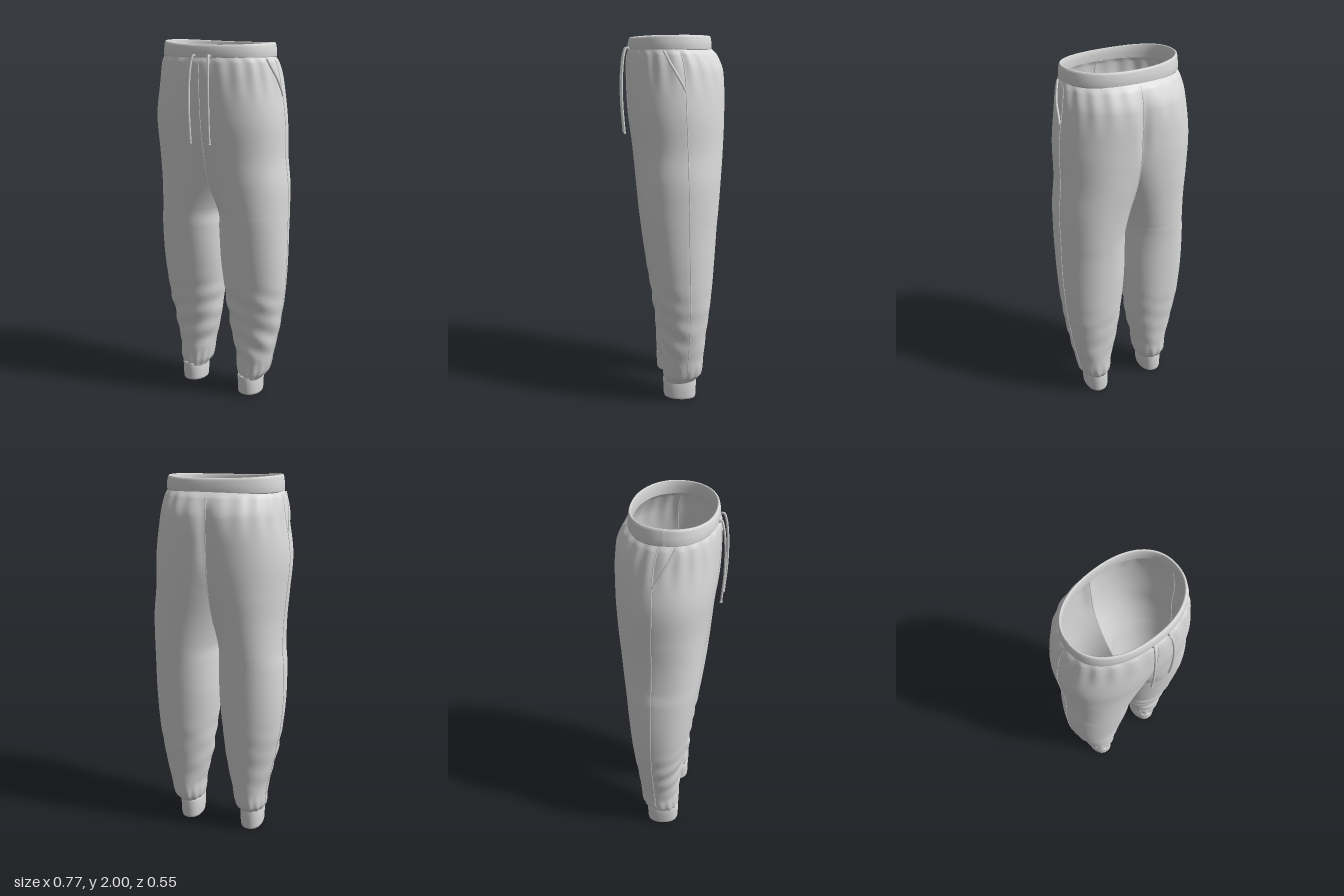
import * as THREE from 'three';

const fabric = new THREE.MeshStandardMaterial({ color: 0xdcdcdc, side: THREE.DoubleSide });
fabric.name = 'light grey fabric';

// Leg sections: y, outer x (right leg), outer x (left leg), inner/outer ratio at the front
// and at the back, front z, back z.
// A negative ratio means the section is cut open at x = 0, where both halves join.
const ROWS = [
  [1.93, .318, .293, -1, -1, .222, -.203],
  [1.89, .337, .312, -.97, -.93, .235, -.238],
  [1.80, .355, .330, -.87, -.75, .240, -.270],
  [1.60, .385, .357, -.68, -.5, .232, -.270],
  [1.40, .375, .362, -.45, -.26, .206, -.258],
  [1.25, .364, .378, -.2, -.11, .190, -.244],
  [1.09, .364, .380, 0, 0, .174, -.230],
  [1.00, .373, .380, .003, .003, .165, -.222],
  [.80, .376, .377, .012, .012, .140, -.210],
  [.60, .360, .363, .07, .07, .110, -.195],
  [.40, .323, .333, .16, .16, .080, -.172],
  [.25, .290, .302, .29, .29, .068, -.157],
  [.15, .282, .278, .36, .36, .064, -.146],
  [.105, .262, .245, .48, .48, .058, -.115],
];
const P = 0.9;
const pow = (v, p = P) => Math.sign(v) * Math.abs(v) ** p;
const step = THREE.MathUtils.smoothstep;

// Smooth interpolation between rows; v counts rows.
function rowAt(v) {
  const i = Math.min(Math.floor(v), ROWS.length - 2), u = v - i;
  const a = ROWS[i], b = ROWS[i + 1], p = ROWS[i - 1] || a, n = ROWS[i + 2] || b;
  const h = b[0] - a[0];
  return a.map((_, c) => {
    if (c === 0) return a[0] + h * u;
    const m0 = (b[c] - p[c]) / (b[0] - p[0]) * h, m1 = (n[c] - a[c]) / (n[0] - a[0]) * h;
    const u2 = u * u, u3 = u2 * u;
    return (2 * u3 - 3 * u2 + 1) * a[c] + (u3 - 2 * u2 + u) * m0
      + (3 * u2 - 2 * u3) * b[c] + (u3 - u2) * m1;
  });
}

function rowIndexForY(y) {
  for (let i = 0; i < ROWS.length - 1; i++) {
    if (y >= ROWS[i + 1][0]) return i + (ROWS[i][0] - y) / (ROWS[i][0] - ROWS[i + 1][0]);
  }
  return ROWS.length - 1;
}

// Point on the cloth; s runs -1 (back) to 0 (outer side) to 1 (front).
function clothPoint(side, v, s) {
  const [y, xr, xl, kFront, kBack, zf, zb] = rowAt(v);
  const xo = side < 0 ? xr : xl, k = s < 0 ? kBack : kFront;
  const cx = xo * (1 + k) / 2, rx = xo * (1 - k) / 2;
  const cz = (zf + zb) / 2, rz = (zf - zb) / 2;
  const ratio = THREE.MathUtils.clamp(cx / rx, 0, 1);
  const A = k >= 0 ? Math.PI : Math.PI - Math.acos(ratio ** (1 / P));
  const t = s * A, sn = Math.sin(t);
  let x = cx + rx * pow(Math.cos(t));
  // the back is rounder than the front
  let z = rz * pow(sn, sn < 0 ? 1.1 : 0.88);
  if (k < 0 && Math.abs(s) > 0.9999) x = 0;
  // crease between the two halves of the seat
  if (sn < 0) z += 0.014 * Math.exp(-((x / 0.03) ** 2)) * step(y, 1.45, 1.7) * (1 - step(y, 1.8, 1.93));
  // gathers under the waistband
  const gather = 1 + 0.01 * Math.sin(s * 34) * step(y, 1.66, 1.87) * (1 - step(y, 1.89, 1.925));
  x *= gather; z *= gather;
  // slanting folds over the shin and gathers above the cuff
  const front = 0.3 + 0.7 * step(sn, -0.4, 0.6);
  const shin = step(y, 0.14, 0.3) * (1 - step(y, 0.5, 0.75)) * front;
  const hem = (1 - step(y, 0.13, 0.26)) * step(y, 0.1, 0.125);
  const fold = 1 + 0.022 * shin * Math.sin(y * 52 + 3.2 * Math.cos(t + 0.5) + side)
    + 0.015 * shin * Math.sin(y * 31 - 4 * t) + 0.025 * hem * Math.sin(t * 13);
  if (y < 1) { x = cx + (x - cx) * fold; z *= fold; }
  return new THREE.Vector3(side * x, y, cz + z);
}

// Smooth sheet from a function of column and row fractions.
function sheet(nu, nv, point, flip) {
  const pos = [], idx = [];
  for (let j = 0; j <= nv; j++)
    for (let i = 0; i <= nu; i++) pos.push(...point(i / nu, j / nv).toArray());
  for (let j = 0; j < nv; j++)
    for (let i = 0; i < nu; i++) {
      const a = j * (nu + 1) + i, b = a + 1, c = a + nu + 1, d = c + 1;
      idx.push(...(flip ? [a, c, b, b, c, d] : [a, b, c, b, d, c]));
    }
  const g = new THREE.BufferGeometry();
  g.setAttribute('position', new THREE.Float32BufferAttribute(pos, 3));
  g.setIndex(idx);
  g.computeVertexNormals();
  return g;
}

// Knitted ring: profile entries are [outward offset, y], plan gives the outline.
function ring(profile, plan, tilt) {
  return sheet(72, profile.length - 1, (u, w) => {
    const t = (u * 2 - 1) * Math.PI, [o, y] = profile[Math.round(w * (profile.length - 1))];
    const c = Math.cos(t), s = Math.sin(t);
    const rx = (c > 0 ? plan.right : plan.left) + o, rz = plan.rz + o;
    return new THREE.Vector3(plan.x + rx * pow(c), y + tilt(y, c, s), plan.z + rz * pow(s));
  });
}

function tube(points, radius, segments = 40) {
  return new THREE.TubeGeometry(new THREE.CatmullRomCurve3(points), segments, radius, 8);
}

export function createModel() {
  const model = new THREE.Group();
  model.name = 'jogging trousers';
  const add = (name, geometry, parent = model) => {
    const mesh = new THREE.Mesh(geometry, fabric);
    mesh.name = name;
    parent.add(mesh);
    return mesh;
  };

  // waistband with a thin rolled top edge, higher at the hips than in front
  add('waistband', ring(
    [[-.008, 1.918], [.004, 1.914], [.008, 1.922], [.007, 1.95], [.003, 1.972], [0, 1.981],
      [-.005, 1.984], [-.01, 1.979], [-.011, 1.95], [-.008, 1.918]],
    { x: 0, z: .0095, left: .318, right: .293, rz: .2125 },
    (y, c, s) => step(y, 1.94, 1.98) * (.01 * c * c - .006 * c - .004 * s)));

  for (const side of [-1, 1]) {
    const label = side < 0 ? 'right' : 'left';
    const n = ROWS.length - 1;

    // leg and its half of the seat
    add(label + 'Leg', sheet(120, n * 10,
      (u, w) => clothPoint(side, w * n, u * 2 - 1), side < 0));

    // ribbed cuff, open at the ankle
    add(label + 'Cuff', ring(
      [[-.012, .122], [-.002, .124], [.003, .115], [.002, .07], [0, .02], [-.003, .008],
        [-.008, .008], [-.01, .02], [-.01, .07], [-.012, .122]],
      { x: side < 0 ? -.199 : .176, z: -.028, left: .065, right: .065, rz: .09 },
      (y, c, s) => (y < .05 ? .008 : .003) * s));

    // outer side seam
    const seam = [];
    for (let i = 0; i <= 40; i++)
      seam.push(clothPoint(side, rowIndexForY(1.9 - i * .0445), -.05));
    add(label + 'SideSeam', tube(seam, .003, 120));

    // slanted pocket opening
    const welt = [];
    for (let i = 0; i <= 8; i++) {
      const f = i / 8;
      const p = clothPoint(side, rowIndexForY(1.91 - .19 * f), .16 - .195 * f);
      p.x += side * .003;
      welt.push(p);
    }
    add(label + 'PocketEdge', tube(welt, .006));

    // drawstring hanging from the waistband
    const x = side < 0 ? -.03 : .062;
    const path = [[0, 1.915, .222], [-.002 * side, 1.93, .24], [.004 * side, 1.9, .253],
      [.01 * side, 1.8, .266], [.012 * side, 1.65, .268], [.011 * side, 1.485, .257]]
      .map(([dx, y, z]) => new THREE.Vector3(x + dx, y, z));
    const cord = new THREE.Group();
    cord.name = label + 'Drawstring';
    model.add(cord);
    add('cord', tube(path, .006, 48), cord);
    add('cordTip', new THREE.SphereGeometry(.0075, 12, 8), cord).position.copy(path[5]);
  }

  // raised fly and seat seams along the middle
  for (const [name, s] of [['frontSeam', 1], ['seatSeam', -1]]) {
    const pts = [];
    for (let i = 0; i <= 20; i++)
      pts.push(clothPoint(1, rowIndexForY(1.91 - .69 * i / 20), s));
    add(name, tube(pts, .0025, 60));
  }
  return model;
}
